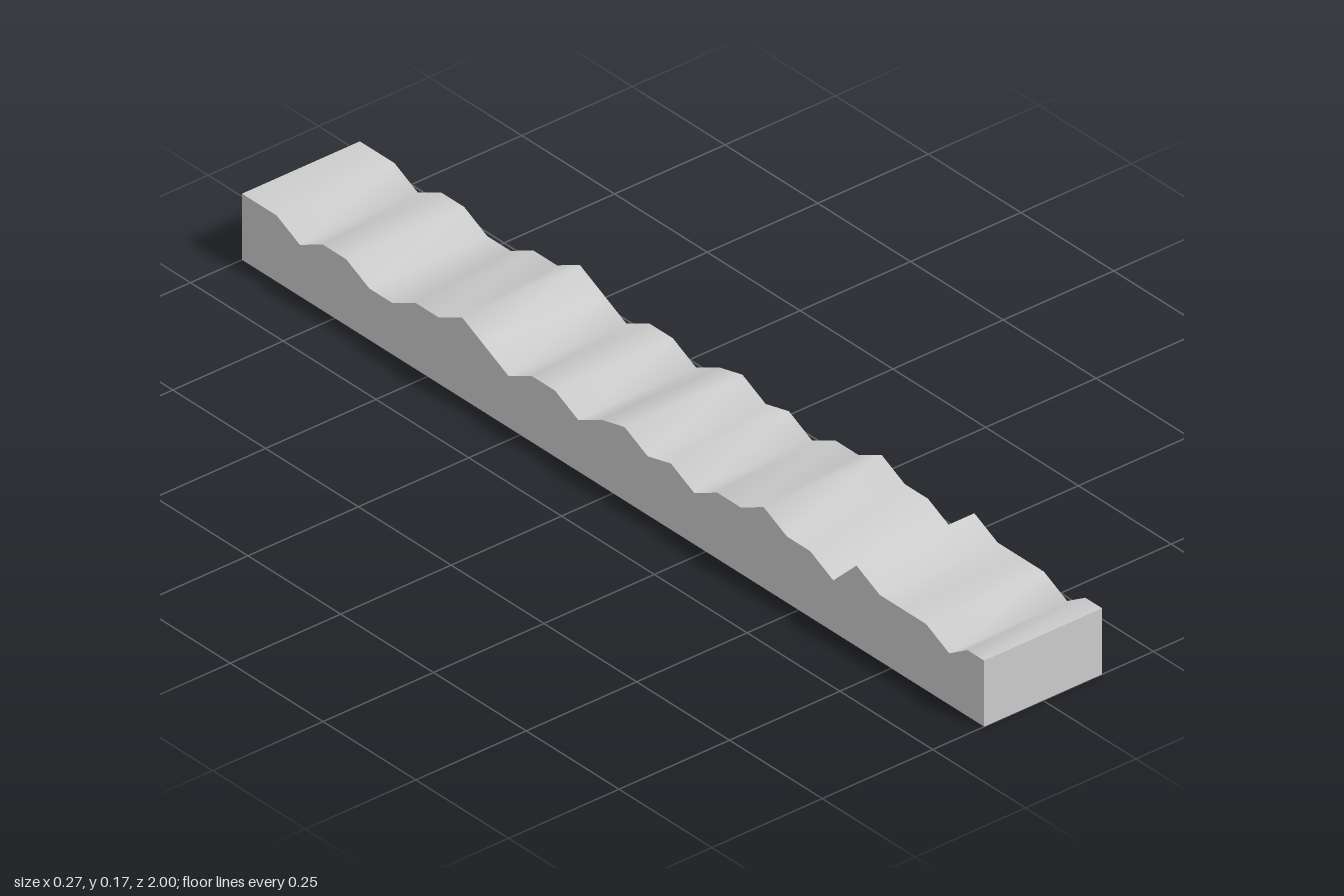
import * as THREE from 'three';
import { toCreasedNormals } from 'three/addons/utils/BufferGeometryUtils.js';

const WIDTH = 0.267;
const STEP = 0.0625;
// Height of the wavy top at even steps from front to back
const HEIGHTS = [
  0.105, 0.135, 0.135, 0.135, 0.165, 0.105, 0.135, 0.135, 0.165, 0.135,
  0.135, 0.105, 0.135, 0.12, 0.15, 0.135, 0.105, 0.135, 0.135, 0.105,
  0.135, 0.165, 0.135, 0.135, 0.105, 0.105, 0.135, 0.135, 0.105, 0.135,
];

export function createModel() {
  const group = new THREE.Group();
  group.name = 'ridgedStrip';

  // Side profile: shape x runs along the strip's length
  const shape = new THREE.Shape();
  shape.moveTo(-1, 0);
  shape.lineTo(1, 0);
  shape.lineTo(1, 0.135);
  shape.lineTo(0.955, 0.135);
  HEIGHTS.forEach((h, i) => shape.lineTo(0.906 - STEP * i, h));
  shape.lineTo(-1, 0.135);
  shape.closePath();

  // Extrude across the width, then turn the length onto z
  const geometry = new THREE.ExtrudeGeometry(shape, { depth: WIDTH, bevelEnabled: false });
  geometry.translate(0, 0, -WIDTH / 2);
  geometry.rotateY(-Math.PI / 2);

  // Gentle waves stay smooth; steep ridges and outer edges stay sharp
  const strip = new THREE.Mesh(
    toCreasedNormals(geometry, Math.PI / 3),
    new THREE.MeshStandardMaterial({ color: 0xcccccc }),
  );
  strip.name = 'wavyBlock';
  group.add(strip);
  return group;
}
